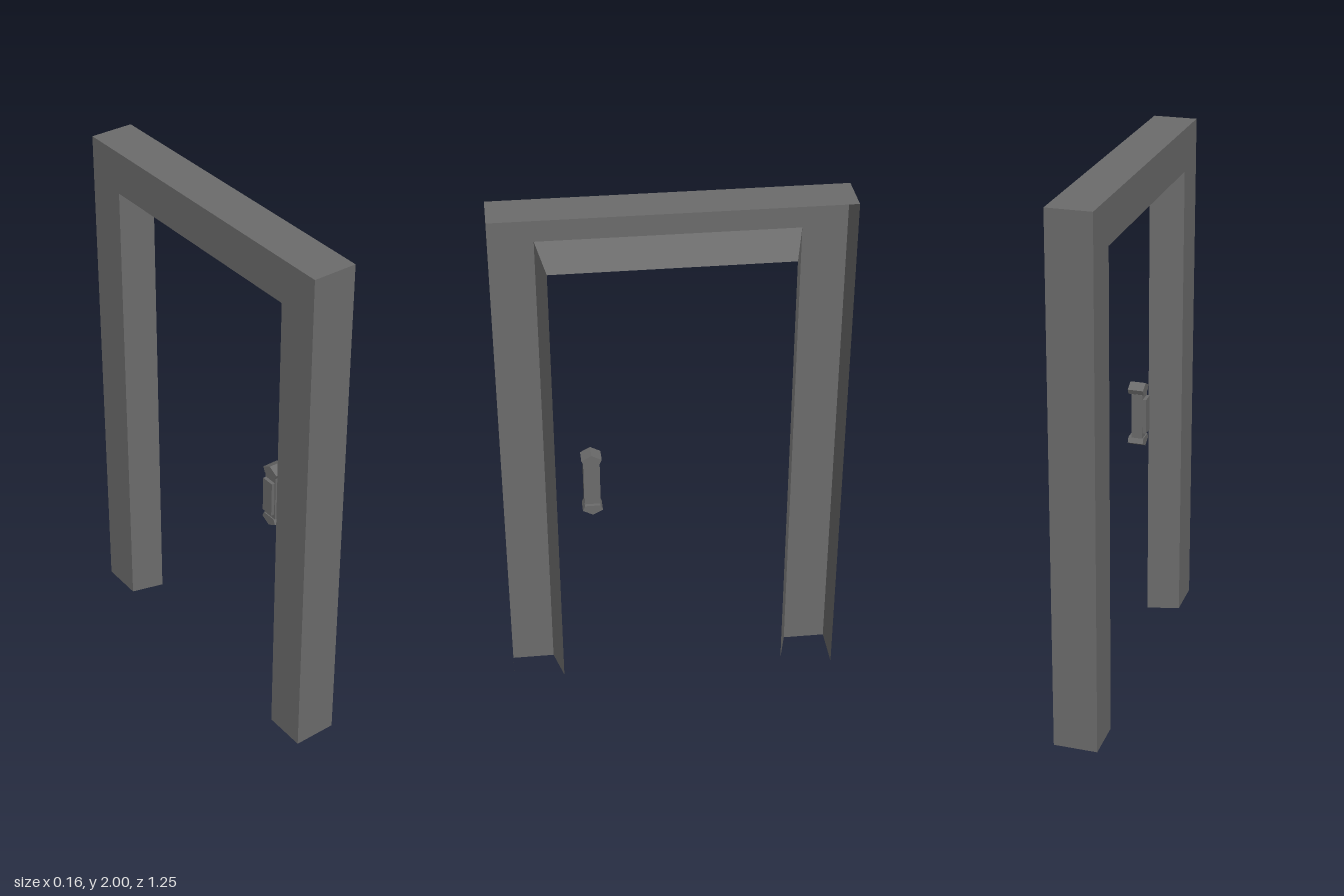
import * as THREE from 'three';

export function createModel() {
  const grey = new THREE.MeshStandardMaterial({ color: 0x6b6b6b, side: THREE.DoubleSide });
  grey.name = 'grey';
  const model = new THREE.Group();
  model.name = 'doorFrame';

  const add = (parent, name, geometry) => {
    const mesh = new THREE.Mesh(geometry, grey);
    mesh.name = name;
    parent.add(mesh);
    return mesh;
  };

  // Open mitred strip around the doorway between two profile points [x, half width, top]
  const archStrip = (a, b) => {
    const ring = ([x, half, top]) => [[x, 0, half], [x, top, half], [x, top, -half], [x, 0, -half]];
    const p = ring(a), q = ring(b), positions = [];
    for (let i = 0; i < 3; i++) {
      for (const v of [p[i], p[i + 1], q[i + 1], p[i], q[i + 1], q[i]]) positions.push(...v);
    }
    const geometry = new THREE.BufferGeometry();
    geometry.setAttribute('position', new THREE.Float32BufferAttribute(positions, 3));
    geometry.computeVertexNormals();
    return geometry;
  };

  // Frame shell: outer wall, flat casing and slanted inner reveal; open towards +x
  const profile = [[0.082, 0.625, 2], [-0.082, 0.625, 2], [-0.082, 0.465, 1.84], [0.042, 0.43, 1.775]];
  ['outerWall', 'casing', 'innerReveal'].forEach((name, i) => add(model, name, archStrip(profile[i], profile[i + 1])));

  // Pull handle floating in the doorway
  const handle = new THREE.Group();
  handle.name = 'handle';
  handle.position.set(0, 0.92, 0.3);
  model.add(handle);

  add(handle, 'grip', new THREE.BoxGeometry(0.043, 0.18, 0.06)).position.x = 0.0415;
  add(handle, 'backPlate', new THREE.BoxGeometry(0.014, 0.14, 0.05)).position.x = 0.014;

  // Gabled end caps, extruded along x
  for (const s of [1, -1]) {
    const outline = [[-0.028, 0.09], [0.028, 0.09], [0.037, 0.11], [0, 0.13], [-0.037, 0.11]];
    const shape = new THREE.Shape(outline.map(([z, y]) => new THREE.Vector2(z, y * s)));
    const geometry = new THREE.ExtrudeGeometry(shape, { depth: 0.06, bevelEnabled: false });
    geometry.rotateY(Math.PI / 2);
    add(handle, s > 0 ? 'topCap' : 'bottomCap', geometry).position.x = 0.016;
  }

  return model;
}
